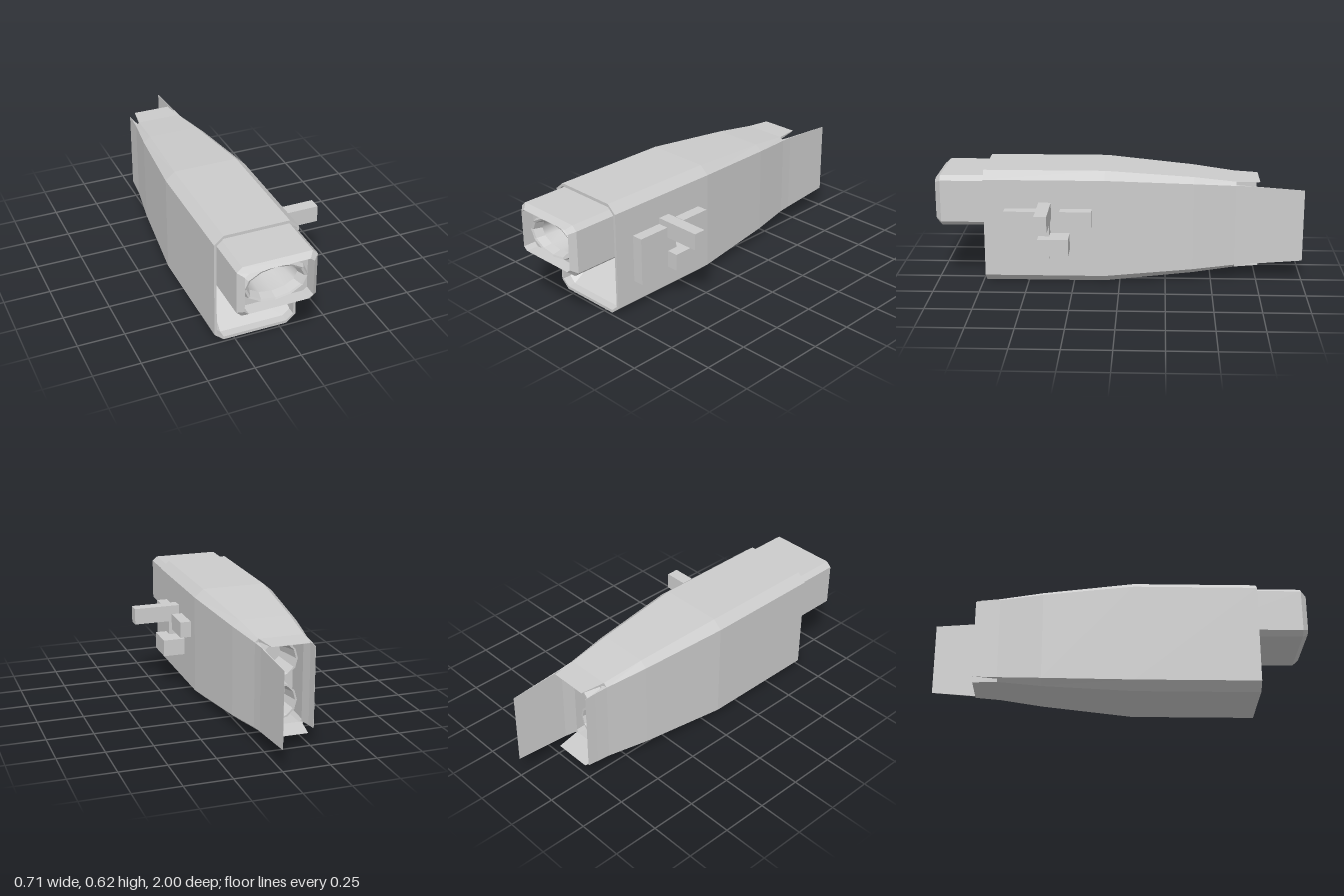
import * as THREE from 'three';
import { mergeVertices } from 'three/addons/utils/BufferGeometryUtils.js';

const CX = -0.13, CY = 0.3125;

// Chamfered rectangle section, counter-clockwise seen from the front
function octagon(cy, hw, hh, cw, ch, z) {
  return [[hw, -hh + ch], [hw, hh - ch], [hw - cw, hh], [-hw + cw, hh],
    [-hw, hh - ch], [-hw, -hh + ch], [-hw + cw, -hh], [hw - cw, -hh]]
    .map(([x, y]) => [CX + x, cy + y, z]);
}

function ellipse(cy, rx, ry, z, n = 12) {
  return Array.from({ length: n }, (_, i) => {
    const a = (i / n) * Math.PI * 2;
    return [CX + rx * Math.cos(a), cy + ry * Math.sin(a), z];
  });
}

function rectangle(cx, cy, hw, hh, z) {
  return [[1, -1], [1, 1], [-1, 1], [-1, -1]].map(([x, y]) => [cx + x * hw, cy + y * hh, z]);
}

// Skin through a chain of sections, with optional caps on both ends
function loft(rings, { capStart = false, capEnd = false, smooth = false } = {}) {
  const pos = [];
  const tri = (...p) => p.forEach((q) => pos.push(...q));
  const n = rings[0].length;
  for (let r = 0; r < rings.length - 1; r++) {
    for (let i = 0; i < n; i++) {
      const j = (i + 1) % n;
      const a = rings[r][i], b = rings[r][j], c = rings[r + 1][j], d = rings[r + 1][i];
      tri(a, d, c);
      tri(a, c, b);
    }
  }
  const first = rings[0], last = rings[rings.length - 1];
  for (let i = 1; i < n - 1; i++) {
    if (capStart) tri(first[0], first[i], first[i + 1]);
    if (capEnd) tri(last[0], last[i + 1], last[i]);
  }
  let g = new THREE.BufferGeometry();
  g.setAttribute('position', new THREE.Float32BufferAttribute(pos, 3));
  if (smooth) g = mergeVertices(g, 1e-4);
  g.computeVertexNormals();
  return g;
}

export function createModel() {
  const group = new THREE.Group();
  const grey = new THREE.MeshStandardMaterial({ color: 0xcccccc });
  grey.name = 'grey';
  const add = (name, geometry) => {
    const mesh = new THREE.Mesh(geometry, grey);
    mesh.name = name;
    group.add(mesh);
    return mesh;
  };

  // Housing: front scoop, outer shell and rear recess in one chain
  add('housing', loft([
    octagon(0.40, 0.195, 0.2, 0.03, 0.03, 0.42),
    octagon(CY, 0.212, 0.296, 0.037, 0.033, 0.69),
    octagon(CY, 0.212, 0.296, 0.037, 0.033, 0.735),
    octagon(CY, 0.225, 0.3125, 0.05, 0.043, 0.735),
    octagon(CY, 0.225, 0.3125, 0.05, 0.043, 0.08),
    octagon(CY, 0.175, 0.272, 0.037, 0.03, -0.40),
    octagon(CY, 0.14, 0.243, 0.02, 0.018, -0.63),
    octagon(CY, 0.121, 0.228, 0.015, 0.014, -0.63),
    octagon(CY, 0.14, 0.245, 0.02, 0.018, -0.45),
  ], { capStart: true, capEnd: true }));

  // Intake box with bevelled mouth and shallow recess
  const iy = 0.4565;
  add('intakeBox', loft([
    octagon(iy, 0.18, 0.116, 0.022, 0.018, 0.93),
    octagon(iy, 0.18, 0.116, 0.022, 0.018, 1.0),
    octagon(iy, 0.21, 0.14, 0.028, 0.025, 0.97),
    octagon(iy, 0.21, 0.14, 0.028, 0.025, 0.42),
  ], { capEnd: true }));

  // Intake panel with an oval opening
  const flat = (ring) => ring.map(([x, y]) => new THREE.Vector2(x, y));
  const panel = new THREE.Shape(flat(octagon(iy, 0.18, 0.116, 0.022, 0.018, 0)));
  panel.holes.push(new THREE.Path(flat(ellipse(0.45, 0.172, 0.1, 0))));
  add('intakePanel', new THREE.ShapeGeometry(panel)).position.z = 0.93;

  // Oval intake rim, faceted
  add('intakeRim', loft([
    ellipse(0.45, 0.135, 0.078, 0.91),
    ellipse(0.45, 0.152, 0.088, 0.955),
    ellipse(0.45, 0.165, 0.097, 0.96),
    ellipse(0.45, 0.178, 0.105, 0.93),
  ]));

  // Smooth bowl behind the rim
  add('intakeBowl', loft([
    ellipse(0.45, 0.002, 0.001, 0.62),
    ellipse(0.45, 0.07, 0.04, 0.65),
    ellipse(0.45, 0.115, 0.066, 0.77),
    ellipse(0.45, 0.135, 0.078, 0.91),
  ], { smooth: true }));

  // Rear plates tapering to thin edges
  for (const [name, side, zTip, hTip] of [
    ['leftRearPlate', 1, -1.0, 0.2], ['rightRearPlate', -1, -0.76, 0.217],
  ]) {
    add(name, loft([
      rectangle(CX + side * 0.13, CY, 0.01, 0.225, -0.63),
      rectangle(CX + side * 0.132, CY, 0.003, 0.222, -0.70),
      rectangle(CX + side * 0.131, CY, 0.0006, hTip, zTip),
    ], { capStart: true, capEnd: true }));
  }
  for (const [name, side] of [['topRearPlate', 1], ['bottomRearPlate', -1]]) {
    add(name, loft([
      rectangle(CX, CY + side * 0.2355, 0.12, 0.0075, -0.63),
      rectangle(CX, CY + side * 0.238, 0.102, 0.0008, -0.76),
    ], { capStart: true, capEnd: true }));
  }

  // Two exhaust nozzles, one above the other
  for (const [name, side] of [['upperNozzle', 1], ['lowerNozzle', -1]]) {
    const y = CY + side * 0.112;
    add(name, loft([
      ellipse(y, 0.1, 0.1, -0.45),
      ellipse(y, 0.1, 0.1, -0.61),
      ellipse(y, 0.09, 0.09, -0.61),
      ellipse(y, 0.06, 0.06, -0.47),
    ], { capEnd: true }));
  }

  // Side fittings: [name, outer x, y range, z range]
  for (const [name, x1, y0, y1, z0, z1] of [
    ['mountPlate', 0.155, 0.162, 0.424, 0.375, 0.62],
    ['rearMount', 0.155, 0.335, 0.424, 0.15, 0.32],
    ['lowerLug', 0.217, 0.195, 0.288, 0.27, 0.435],
    ['mountArm', 0.355, 0.367, 0.458, 0.37, 0.437],
  ]) {
    const x0 = 0.085;
    add(name, new THREE.BoxGeometry(x1 - x0, y1 - y0, z1 - z0))
      .position.set((x0 + x1) / 2, (y0 + y1) / 2, (z0 + z1) / 2);
  }
  return group;
}
